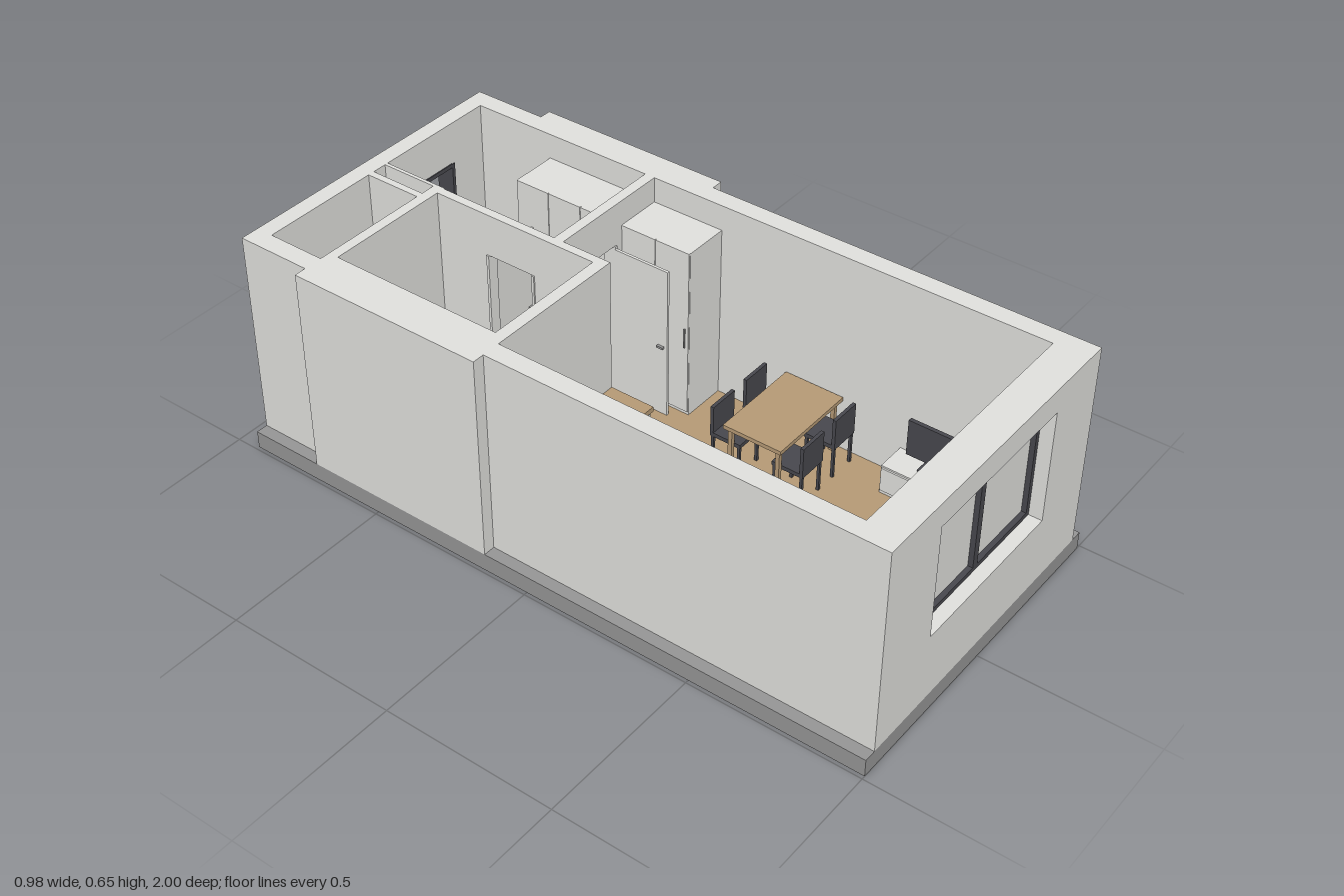
import * as THREE from 'three';

const material = (name, color) => {
  const m = new THREE.MeshStandardMaterial({ color });
  m.name = name;
  return m;
};

export function createModel() {
  const white = material('wall white', 0xe4e4e1);
  const grey = material('slab grey', 0x989898);
  const wood = material('wood', 0xb89c77);
  const dark = material('dark metal', 0x49494f);
  const blue = material('sofa blue', 0x75838f);

  const model = new THREE.Group();
  model.name = 'apartment';
  const F = 0.052, TOP = 0.655, DOOR = 0.53, FLOOR = F + 0.004;

  const group = (name) => {
    const g = new THREE.Group();
    g.name = name;
    model.add(g);
    return g;
  };
  const add = (parent, name, geo, mat, x = 0, y = 0, z = 0) => {
    const mesh = new THREE.Mesh(geo, mat);
    mesh.name = name;
    mesh.position.set(x, y, z);
    parent.add(mesh);
    return mesh;
  };
  // Box given by its limits on each axis
  const box = (parent, name, mat, x0, x1, y0, y1, z0, z1) =>
    add(parent, name, new THREE.BoxGeometry(x1 - x0, y1 - y0, z1 - z0), mat,
      (x0 + x1) / 2, (y0 + y1) / 2, (z0 + z1) / 2);
  const cyl = (parent, name, mat, r, h, x, y, z, n = 20) =>
    add(parent, name, new THREE.CylinderGeometry(r, r, h, n), mat, x, y, z);

  // Base slab and floors
  box(model, 'slab', grey, -0.49, 0.49, 0, F, -0.935, 1);
  const floors = group('floors');
  box(floors, 'livingFloor', wood, -0.4, 0.4, F, FLOOR, -0.135, 0.9);
  box(floors, 'livingFloorRear', wood, 0.025, 0.4, F, FLOOR, -0.3, -0.135);
  box(floors, 'hallFloor', white, 0.025, 0.4, F, FLOOR, -0.885, -0.3);

  // Walls: x0, x1, z0, z1, then optional bottom and top
  const walls = group('walls');
  [
    [-0.455, -0.4, -0.935, -0.715], [-0.49, -0.37, -0.715, -0.135], [-0.455, -0.4, -0.135, 1],
    [0.4, 0.455, -0.935, -0.715], [0.4, 0.49, -0.715, -0.135], [0.4, 0.455, -0.135, 1],
    // back wall with entrance
    [-0.4, 0.064, -0.935, -0.885], [0.28, 0.4, -0.935, -0.885],
    [0.064, 0.28, -0.935, -0.885, DOOR, TOP],
    // front wall with window
    [-0.4, -0.245, 0.9, 1], [0.26, 0.4, 0.9, 1],
    [-0.245, 0.26, 0.9, 1, F, 0.25], [-0.245, 0.26, 0.9, 1, 0.582, TOP],
    // storage and duct
    [-0.37, 0.028, -0.715, -0.685], [-0.045, -0.025, -0.885, -0.715], [0.018, 0.028, -0.885, -0.715],
    // bathroom
    [0, 0.025, -0.685, -0.52], [0, 0.025, -0.365, -0.135],
    [0, 0.025, -0.52, -0.365, DOOR, TOP], [-0.37, 0, -0.17, -0.135],
    // hall to living room
    [0.025, 0.05, -0.315, -0.285], [0.235, 0.4, -0.315, -0.285],
    [0.05, 0.235, -0.315, -0.285, DOOR, TOP],
  ].forEach(([x0, x1, z0, z1, y0 = F, y1 = TOP]) => box(walls, 'wall', white, x0, x1, y0, y1, z0, z1));

  // Front window
  const win = group('window');
  const wz0 = 0.93, wz1 = 0.962;
  box(win, 'glass', white, -0.232, 0.247, 0.263, 0.569, 0.942, 0.948);
  for (const [a, b] of [[-0.245, -0.232], [0, 0.02], [0.247, 0.26]])
    box(win, 'frameUpright', dark, a, b, 0.25, 0.582, wz0, wz1);
  for (const [a, b] of [[0.25, 0.263], [0.569, 0.582]])
    for (const [x0, x1] of [[-0.232, 0], [0.02, 0.247]])
      box(win, 'frameRail', dark, x0, x1, a, b, wz0, wz1);
  box(win, 'innerSill', white, -0.25, 0.265, 0.24, 0.25, 0.887, 0.9);

  // Entrance frame and open leaf
  const entrance = group('entranceDoor');
  box(entrance, 'jamb', dark, 0.062, 0.072, F, DOOR, -0.938, -0.882);
  box(entrance, 'jamb', dark, 0.272, 0.282, F, DOOR, -0.938, -0.882);
  box(entrance, 'lintel', dark, 0.072, 0.272, DOOR - 0.01, DOOR + 0.002, -0.938, -0.882);
  box(entrance, 'leaf', dark, 0.06, 0.07, FLOOR, DOOR - 0.012, -0.88, -0.682);
  box(entrance, 'handle', dark, 0.052, 0.08, 0.275, 0.281, -0.7, -0.694);

  // Bathroom door, opening into the hall
  const bathDoor = group('bathroomDoor');
  box(bathDoor, 'leaf', white, 0.027, 0.18, FLOOR, DOOR - 0.008, -0.525, -0.517);
  box(bathDoor, 'handle', grey, 0.15, 0.173, 0.275, 0.281, -0.533, -0.509);
  for (const z of [-0.522, -0.371])
    box(bathDoor, 'jamb', white, -0.004, 0.029, F, DOOR, z, z + 0.008);

  // Living room door, opening into the living room
  const livingDoor = group('livingDoor');
  box(livingDoor, 'leaf', white, 0.228, 0.236, FLOOR, DOOR - 0.008, -0.283, -0.11);
  box(livingDoor, 'handle', grey, 0.22, 0.244, 0.275, 0.281, -0.14, -0.12);
  for (const x of [0.048, 0.229])
    box(livingDoor, 'jamb', white, x, x + 0.008, F, DOOR, -0.319, -0.281);

  // Tall cupboards with door fronts facing -x
  const cupboard = (name, z0, z1, doors) => {
    const g = group(name);
    box(g, 'carcass', white, 0.265, 0.4, FLOOR, 0.58, z0, z1);
    const w = (z1 - z0) / doors;
    for (let i = 0; i < doors; i++) {
      const a = z0 + i * w;
      box(g, 'doorFront', white, 0.26, 0.265, FLOOR + 0.012, 0.58, a + 0.001, a + w - 0.001);
      box(g, 'handle', grey, 0.256, 0.26, 0.28, 0.34, a + w - 0.014, a + w - 0.01);
    }
  };
  cupboard('hallWardrobe', -0.64, -0.315, 3);
  cupboard('tallCabinet', -0.285, -0.065, 2);

  // L-shaped kitchen
  const kitchen = group('kitchen');
  const C = 0.265;
  box(kitchen, 'rearBase', white, -0.4, 0.02, FLOOR, 0.25, -0.135, -0.008);
  box(kitchen, 'sideBase', white, -0.4, -0.272, FLOOR, 0.25, -0.008, 0.22);
  box(kitchen, 'rearWorktop', wood, -0.4, 0.025, 0.25, C, -0.135, 0);
  box(kitchen, 'sideWorktop', wood, -0.4, -0.265, 0.25, C, 0, 0.22);
  for (const x of [-0.26, -0.02])
    box(kitchen, 'cupboardFront', white, x, x + (x < -0.1 ? 0.14 : 0.038), 0.075, 0.244, -0.008, -0.004);
  for (const z of [0.005, 0.112])
    box(kitchen, 'cupboardFront', white, -0.272, -0.268, 0.075, 0.244, z, z + 0.1);
  box(kitchen, 'ovenFront', dark, -0.11, -0.035, 0.08, 0.24, -0.008, -0.002);
  box(kitchen, 'hob', dark, -0.11, -0.035, C, C + 0.004, -0.13, 0);
  box(kitchen, 'sinkRim', white, -0.25, -0.15, C, C + 0.004, -0.12, -0.018);
  box(kitchen, 'sinkBowl', dark, -0.239, -0.161, C + 0.004, C + 0.006, -0.108, -0.03);
  const tapPath = new THREE.CatmullRomCurve3([[0, 0, 0], [0, 0.05, 0], [0, 0.062, 0.012], [0, 0.052, 0.035]]
    .map((p) => new THREE.Vector3(...p)));
  const tapGeo = new THREE.TubeGeometry(tapPath, 14, 0.0035, 8);
  add(kitchen, 'tap', tapGeo, dark, -0.2, C, -0.115);

  // Refrigerator
  const fridge = group('refrigerator');
  box(fridge, 'body', white, -0.4, -0.276, FLOOR, 0.47, 0.222, 0.35);
  box(fridge, 'lowerDoor', white, -0.276, -0.268, FLOOR + 0.01, 0.2, 0.222, 0.35);
  box(fridge, 'upperDoor', white, -0.276, -0.268, 0.204, 0.47, 0.222, 0.35);
  for (const [a, b] of [[0.13, 0.19], [0.22, 0.34]])
    box(fridge, 'handle', dark, -0.268, -0.262, a, b, 0.33, 0.336);

  // Dining table and four chairs
  const table = group('diningTable');
  box(table, 'top', wood, 0.115, 0.397, 0.213, 0.225, 0.155, 0.335);
  for (const x of [0.125, 0.375]) for (const z of [0.165, 0.313])
    box(table, 'leg', wood, x, x + 0.012, FLOOR, 0.213, z, z + 0.012);
  for (const x of [0.1825, 0.3275]) for (const s of [-1, 1]) {
    const chair = group('chair');
    chair.position.set(x, 0, 0.245);
    chair.scale.z = 1;
    chair.rotation.y = s < 0 ? Math.PI : 0;
    box(chair, 'seat', dark, -0.046, 0.046, 0.15, 0.162, 0.05, 0.145);
    box(chair, 'backrest', dark, -0.046, 0.046, 0.162, 0.245, 0.135, 0.145);
    for (const a of [-0.044, 0.036]) for (const b of [0.052, 0.135])
      box(chair, 'leg', dark, a, a + 0.008, FLOOR, 0.15, b, b + 0.008);
  }

  // Sofa with two seats and wood-toned pillows
  const sofa = group('sofa');
  box(sofa, 'base', blue, -0.398, -0.188, 0.07, 0.11, 0.423, 0.865);
  box(sofa, 'back', blue, -0.398, -0.352, 0.11, 0.235, 0.423, 0.865);
  box(sofa, 'cushionGap', dark, -0.352, -0.192, 0.11, 0.146, 0.428, 0.86);
  for (const z of [0.424, 0.647]) {
    box(sofa, 'seatCushion', blue, -0.346, -0.186, 0.11, 0.152, z, z + 0.217);
    const pillow = box(sofa, 'pillow', wood, -0.344, -0.326, 0.154, 0.225, z + 0.055, z + 0.15);
    pillow.rotation.z = 0.15;
  }
  for (const x of [-0.39, -0.21]) for (const z of [0.435, 0.84])
    box(sofa, 'foot', dark, x, x + 0.014, FLOOR, 0.07, z, z + 0.014);

  // Coffee table
  const coffee = group('coffeeTable');
  box(coffee, 'top', wood, -0.05, 0.062, 0.135, 0.145, 0.54, 0.765);
  for (const x of [-0.045, 0.047]) for (const z of [0.545, 0.75])
    box(coffee, 'leg', wood, x, x + 0.01, FLOOR, 0.135, z, z + 0.01);

  // Television on a low unit
  const media = group('mediaUnit');
  box(media, 'cabinet', white, 0.31, 0.4, FLOOR, 0.145, 0.515, 0.9);
  for (let i = 0; i < 3; i++)
    box(media, 'drawerFront', white, 0.305, 0.31, 0.068, 0.14, 0.518 + i * 0.128, 0.641 + i * 0.128);
  box(media, 'tvFoot', dark, 0.345, 0.388, 0.145, 0.15, 0.6, 0.665);
  box(media, 'tvNeck', dark, 0.364, 0.372, 0.15, 0.175, 0.625, 0.64);
  box(media, 'tvScreen', dark, 0.36, 0.372, 0.17, 0.28, 0.555, 0.72);

  // Toilet
  const toilet = group('toilet');
  box(toilet, 'cistern', white, -0.295, -0.237, 0.13, 0.235, -0.685, -0.655);
  const bowl = add(toilet, 'bowl', new THREE.LatheGeometry(
    [[0, 0], [0.02, 0], [0.02, 0.03], [0.032, 0.085], [0.032, 0.1], [0, 0.1]]
      .map((p) => new THREE.Vector2(...p)), 24), white, -0.265, F, -0.612);
  bowl.scale.z = 1.45;

  // Washbasin
  const basin = group('washbasin');
  box(basin, 'cabinet', white, -0.15, -0.05, 0.1, 0.225, -0.685, -0.585);
  box(basin, 'basinTop', white, -0.155, -0.043, 0.225, 0.245, -0.685, -0.575);
  add(basin, 'tap', tapGeo, grey, -0.1, 0.245, -0.67).scale.setScalar(0.7);

  // Shower
  const shower = group('shower');
  box(shower, 'tray', white, -0.37, -0.17, F, 0.068, -0.37, -0.17);
  cyl(shower, 'riser', grey, 0.003, 0.28, -0.364, 0.36, -0.285, 8);
  box(shower, 'arm', grey, -0.37, -0.33, 0.497, 0.503, -0.288, -0.282);
  cyl(shower, 'head', white, 0.022, 0.008, -0.33, 0.493, -0.285);

  // Washing machine facing the back
  const washer = group('washingMachine');
  box(washer, 'body', white, -0.145, -0.015, F, 0.25, -0.322, -0.2);
  cyl(washer, 'porthole', dark, 0.04, 0.006, -0.08, 0.14, -0.324).rotation.x = Math.PI / 2;
  box(washer, 'controlPanel', grey, -0.135, -0.025, 0.215, 0.238, -0.326, -0.322);

  // Flat arrow pointing at the entrance
  const tri = new THREE.Shape([[0.12, 1], [0.21, 1], [0.165, 0.957]].map((p) => new THREE.Vector2(...p)));
  const arrow = new THREE.ExtrudeGeometry(tri, { depth: 0.003, bevelEnabled: false });
  arrow.rotateX(-Math.PI / 2);
  add(model, 'entranceArrow', arrow, dark, 0, F, 0);

  return model;
}
